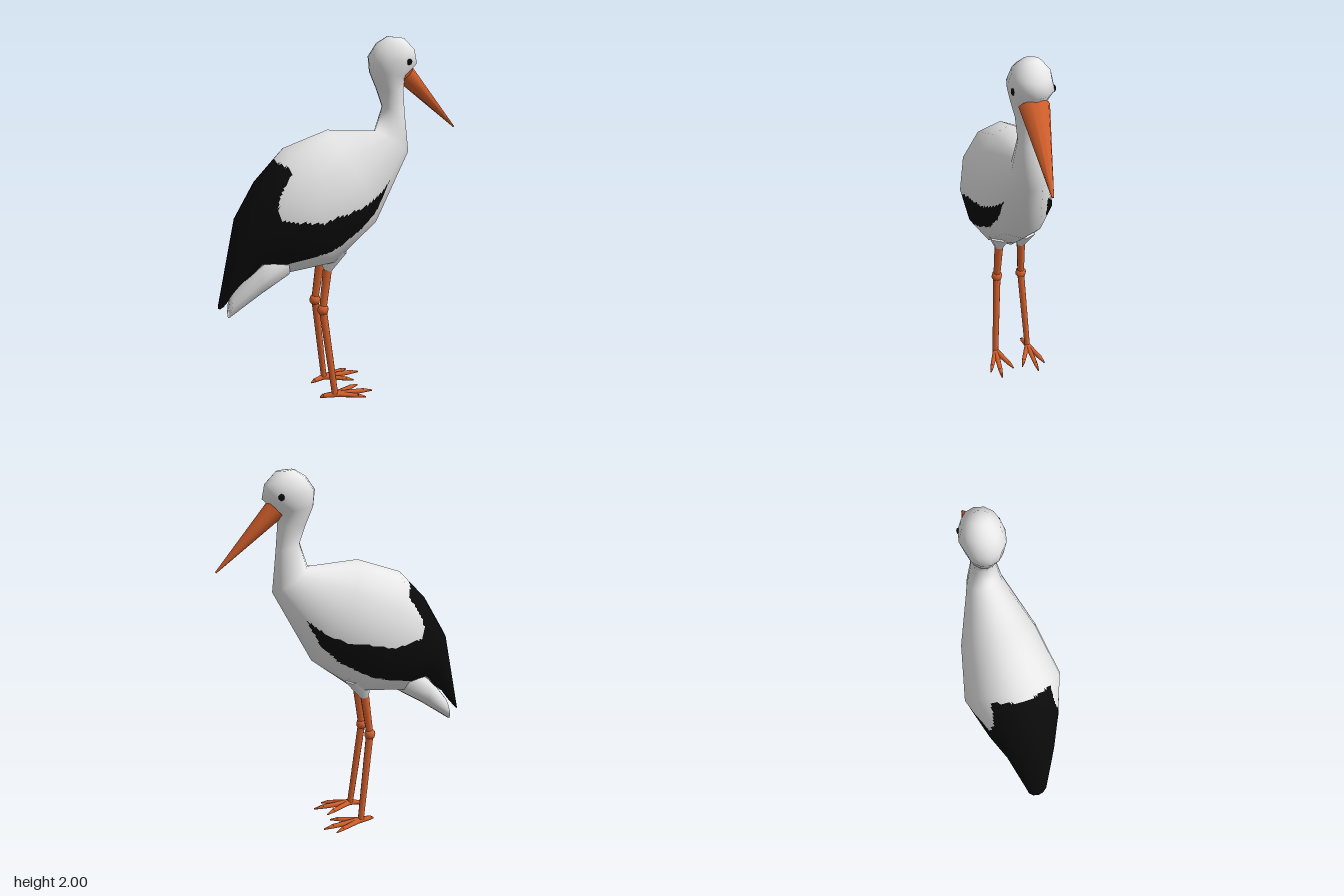
import * as THREE from 'three';

const white = new THREE.MeshStandardMaterial({ color: 0xe6e6e6 });
white.name = 'white plumage';
const black = new THREE.MeshStandardMaterial({ color: 0x0a0a0a });
black.name = 'black feathers';
const orange = new THREE.MeshStandardMaterial({ color: 0xd4602c });
orange.name = 'orange bill and legs';

const SIDES = 12;

// Outline of the black wing patch, seen from the side (x, y)
const wingPatch = [
  [0.25, 1.26], [0.16, 1.19], [0.05, 1.14], [-0.07, 1.13], [-0.16, 1.11], [-0.27, 1.115],
  [-0.36, 1.125], [-0.38, 1.17], [-0.37, 1.23], [-0.33, 1.3], [-0.295, 1.35], [-0.3, 1.375],
  [-0.35, 1.395], [-0.37, 1.5], [-0.8, 1.5], [-0.8, 0.4], [-0.65, 0.55], [-0.6, 0.68],
  [-0.45, 0.86], [-0.38, 0.86], [-0.2, 0.9], [-0.05, 0.95], [0.08, 1.02], [0.18, 1.12],
];

function isBlack(x, y) {
  let inside = false;
  wingPatch.forEach(([ax, ay], i) => {
    const [bx, by] = wingPatch[(i + 1) % wingPatch.length];
    if ((ay > y) !== (by > y) && x < ax + ((y - ay) * (bx - ax)) / (by - ay)) inside = !inside;
  });
  return inside;
}

// Loft of elliptical rings; each section is [topX, topY, bottomX, bottomY, halfWidth]
function loft(sections) {
  const closed = (s) => {
    const mx = (s[0] + s[2]) / 2, my = (s[1] + s[3]) / 2;
    return [mx, my, mx, my, 0];
  };
  const rings = [closed(sections[0]), ...sections, closed(sections[sections.length - 1])];
  const pos = [], idx = [];
  rings.forEach(([tx, ty, bx, by, w], i) => {
    for (let j = 0; j < SIDES; j++) {
      const a = (j / SIDES) * Math.PI * 2, k = (1 - Math.cos(a)) / 2;
      pos.push(tx + (bx - tx) * k, ty + (by - ty) * k, w * Math.sin(a));
      if (i < rings.length - 1) {
        const p = i * SIDES + j, q = i * SIDES + ((j + 1) % SIDES);
        idx.push(p, q, p + SIDES, q, q + SIDES, p + SIDES);
      }
    }
  });
  const g = new THREE.BufferGeometry();
  g.setAttribute('position', new THREE.Float32BufferAttribute(pos, 3));
  g.setIndex(idx);
  g.computeVertexNormals();
  g.userData.rings = rings.length;
  return g;
}

// Divide every loft panel finely and sort the small faces by colour
function paintLoft(coarse, n) {
  const P = coarse.attributes.position, N = coarse.attributes.normal;
  const pos = [], nor = [], faces = [[], []];
  const mix = (attr, c, u, v) => {
    const r = [0, 1, 2, 3].map((k) => new THREE.Vector3().fromBufferAttribute(attr, c[k]));
    return r[0].lerp(r[1], u).lerp(r[2].lerp(r[3], u), v);
  };
  for (let i = 0; i < coarse.userData.rings - 1; i++) {
    for (let j = 0; j < SIDES; j++) {
      const p = i * SIDES + j, q = i * SIDES + ((j + 1) % SIDES);
      const corners = [p, q, p + SIDES, q + SIDES];
      const base = pos.length / 3;
      for (let b = 0; b <= n; b++) {
        for (let a = 0; a <= n; a++) {
          pos.push(...mix(P, corners, a / n, b / n).toArray());
          nor.push(...mix(N, corners, a / n, b / n).normalize().toArray());
        }
      }
      for (let b = 0; b < n; b++) {
        for (let a = 0; a < n; a++) {
          const s = base + b * (n + 1) + a, t = s + n + 1;
          for (const f of [[s, s + 1, t], [s + 1, t + 1, t]]) {
            const mid = (k) => f.reduce((sum, v) => sum + pos[v * 3 + k], 0) / 3;
            faces[isBlack(mid(0), mid(1)) ? 1 : 0].push(...f);
          }
        }
      }
    }
  }
  const g = new THREE.BufferGeometry();
  g.setAttribute('position', new THREE.Float32BufferAttribute(pos, 3));
  g.setAttribute('normal', new THREE.Float32BufferAttribute(nor, 3));
  g.setIndex(faces[0].concat(faces[1]));
  g.addGroup(0, faces[0].length, 0);
  g.addGroup(faces[0].length, faces[1].length, 1);
  return g;
}

function addMesh(parent, name, geometry, material) {
  const m = new THREE.Mesh(geometry, material);
  m.name = name;
  parent.add(m);
  return m;
}

// Tapered rod from a to b; "flat" scales its z thickness
function rod(parent, name, a, b, r0, r1, material, sides = 8, flat = 1) {
  const A = new THREE.Vector3(...a), B = new THREE.Vector3(...b);
  const d = B.clone().sub(A);
  const g = new THREE.CylinderGeometry(r1, r0, d.length(), sides);
  g.scale(1, 1, flat);
  const m = addMesh(parent, name, g, material);
  m.position.copy(A).add(B).multiplyScalar(0.5);
  m.quaternion.setFromUnitVectors(new THREE.Vector3(0, 1, 0), d.normalize());
  return m;
}

export function createModel() {
  const bird = new THREE.Group();
  bird.name = 'wadingBird';

  // Folded wings, body, neck and head in one skin
  const body = loft([
    [-0.68, 0.61, -0.59, 0.73, 0.06],
    [-0.57, 1.1, -0.42, 0.83, 0.13],
    [-0.45, 1.3, -0.3, 0.77, 0.19],
    [-0.3, 1.455, -0.05, 0.8, 0.26],
    [-0.06, 1.535, 0.2, 1.0, 0.2],
    [0.21, 1.515, 0.4, 1.39, 0.09],
    [0.25, 1.64, 0.375, 1.6, 0.06],
    [0.215, 1.73, 0.362, 1.73, 0.068],
    [0.175, 1.82, 0.37, 1.8, 0.088],
    [0.165, 1.9, 0.435, 1.86, 0.108],
    [0.21, 1.965, 0.42, 1.93, 0.088],
    [0.27, 2.0, 0.36, 1.99, 0.045],
  ]);
  addMesh(bird, 'bodyNeckAndHead', paintLoft(body, 12), [white, black]);

  // Tail under the wing tips
  addMesh(bird, 'tail', loft([
    [-0.6, 0.69, -0.63, 0.55, 0.055],
    [-0.46, 0.87, -0.46, 0.67, 0.112],
    [-0.34, 0.97, -0.3, 0.77, 0.14],
  ]), white);

  // Bill
  rod(bird, 'bill', [0.37, 1.81, 0], [0.68, 1.51, 0], 0.052, 0.004, orange, 10, 1.4);

  for (const side of [1, -1]) {
    const label = side > 0 ? 'left' : 'right';

    // Eye
    const eye = addMesh(bird, label + 'Eye', new THREE.SphereGeometry(0.016, 10, 8), black);
    eye.scale.z = 0.5;
    eye.position.set(0.355, 1.875, side * 0.094);

    // Leg
    const leg = new THREE.Group();
    leg.name = label + 'Leg';
    bird.add(leg);
    const hip = [-0.085, 0.78, side * 0.065];
    const knee = [-0.115, 0.55, side * 0.073];
    const ankle = [-0.055, 0.02, side * 0.103];
    rod(leg, 'thigh', [-0.05, 0.9, side * 0.065], hip, 0.08, 0.026, white);
    rod(leg, 'upperLeg', hip, knee, 0.025, 0.02, orange);
    addMesh(leg, 'knee', new THREE.SphereGeometry(0.033, 8, 6), orange).position.set(...knee);
    rod(leg, 'lowerLeg', knee, ankle, 0.022, 0.018, orange);

    // Toes: three forward, one back, each with a short claw
    for (const [x, z] of [[0.17, 0.01], [0.11, 0.065], [0.11, -0.075], [-0.14, -0.02]]) {
      const tip = [x, 0.006, side * (0.103 + z)];
      const joint = ankle.map((v, k) => v + (tip[k] - v) * 0.75);
      joint[1] = 0.014;
      rod(leg, 'toe', ankle, joint, 0.018, 0.013, orange, 6);
      rod(leg, 'claw', joint, tip, 0.013, 0.004, orange, 6);
    }
  }
  return bird;
}
